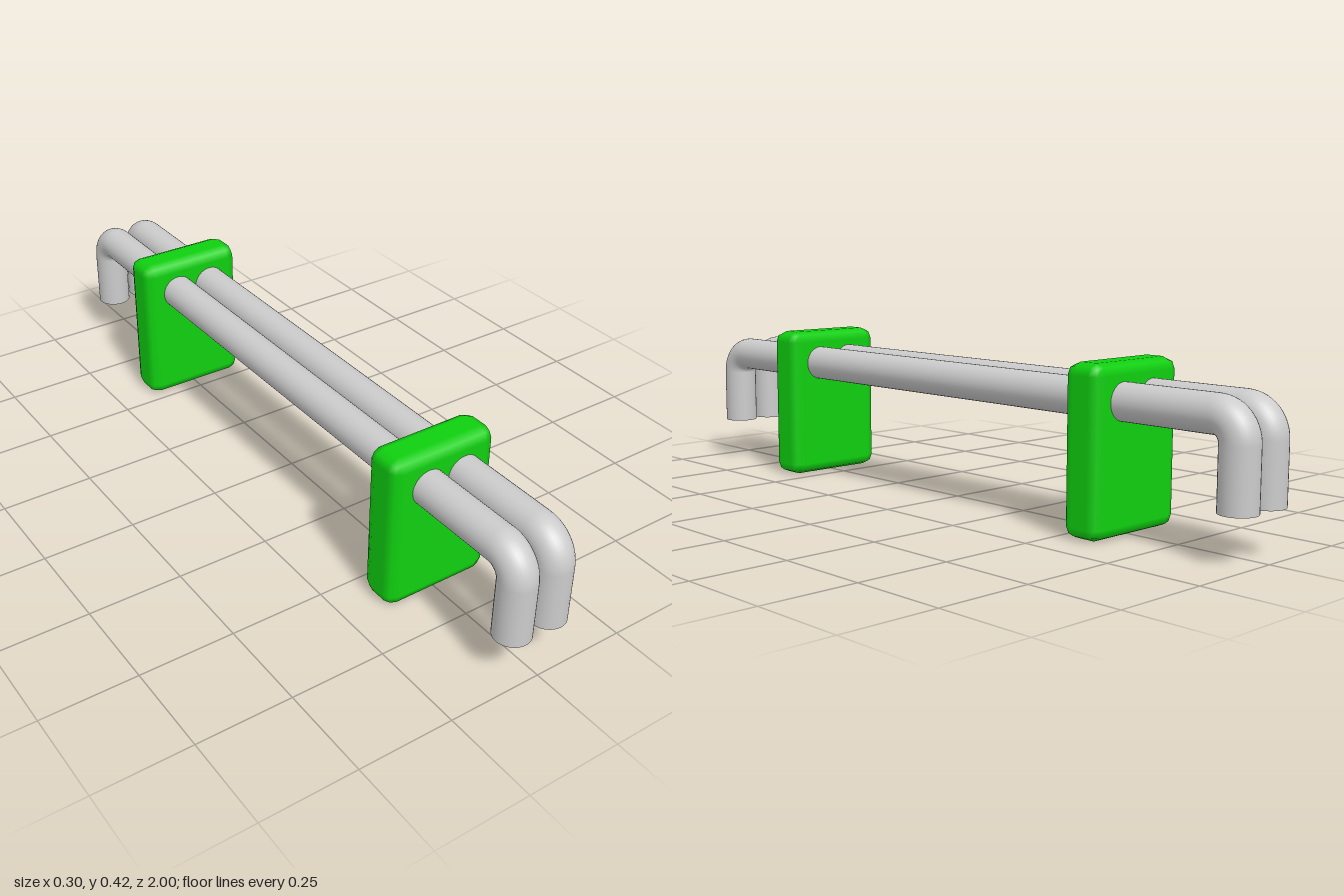
import * as THREE from 'three';
import { RoundedBoxGeometry } from 'three/addons/geometries/RoundedBoxGeometry.js';

const RADIUS = 0.047;   // pipe radius
const BEND = 0.06;      // elbow centreline radius
const AXIS_Y = 0.328;   // height of the long run
const END_Z = 0.953;    // centreline of the downturned ends
const FOOT_Y = 0.115;   // open lower end of the pipes
const SIDES = 32;

const pipeMaterial = new THREE.MeshStandardMaterial({ color: 0xcccccc, side: THREE.DoubleSide });
const plateMaterial = new THREE.MeshStandardMaterial({ color: 0x10d010 });

function addMesh(parent, name, geometry, material, x, y, z) {
  const mesh = new THREE.Mesh(geometry, material);
  mesh.name = name;
  mesh.position.set(x, y, z);
  parent.add(mesh);
  return mesh;
}

function openCylinder(length) {
  return new THREE.CylinderGeometry(RADIUS, RADIUS, length, SIDES, 1, true);
}

// A long straight run with an elbow and a short open drop at each end
function createPipe(name, x) {
  const pipe = new THREE.Group();
  pipe.name = name;
  pipe.position.x = x;

  const bendZ = END_Z - BEND;
  const bendY = AXIS_Y - BEND;
  const run = addMesh(pipe, 'pipeRun', openCylinder(2 * bendZ), pipeMaterial, 0, AXIS_Y, 0);
  run.rotation.x = Math.PI / 2;

  for (const [end, s] of [['front', 1], ['back', -1]]) {
    const elbow = addMesh(pipe, end + 'Elbow',
      new THREE.TorusGeometry(BEND, RADIUS, SIDES, 14, Math.PI / 2),
      pipeMaterial, 0, bendY, s * bendZ);
    elbow.rotation.y = -s * Math.PI / 2;
    addMesh(pipe, end + 'Drop', openCylinder(bendY - FOOT_Y),
      pipeMaterial, 0, (bendY + FOOT_Y) / 2, s * END_Z);
  }
  return pipe;
}

export function createModel() {
  const model = new THREE.Group();
  model.name = 'twinPipesOnSupports';

  // The pair of pipes
  model.add(createPipe('leftPipe', 0.056), createPipe('rightPipe', -0.049));

  // Rounded support plates the pipes pass through
  for (const [name, z] of [['frontSupport', 0.587], ['backSupport', -0.573]]) {
    addMesh(model, name, new RoundedBoxGeometry(0.3, 0.42, 0.108, 1, 0.03),
      plateMaterial, 0, 0.21, z);
  }
  return model;
}
